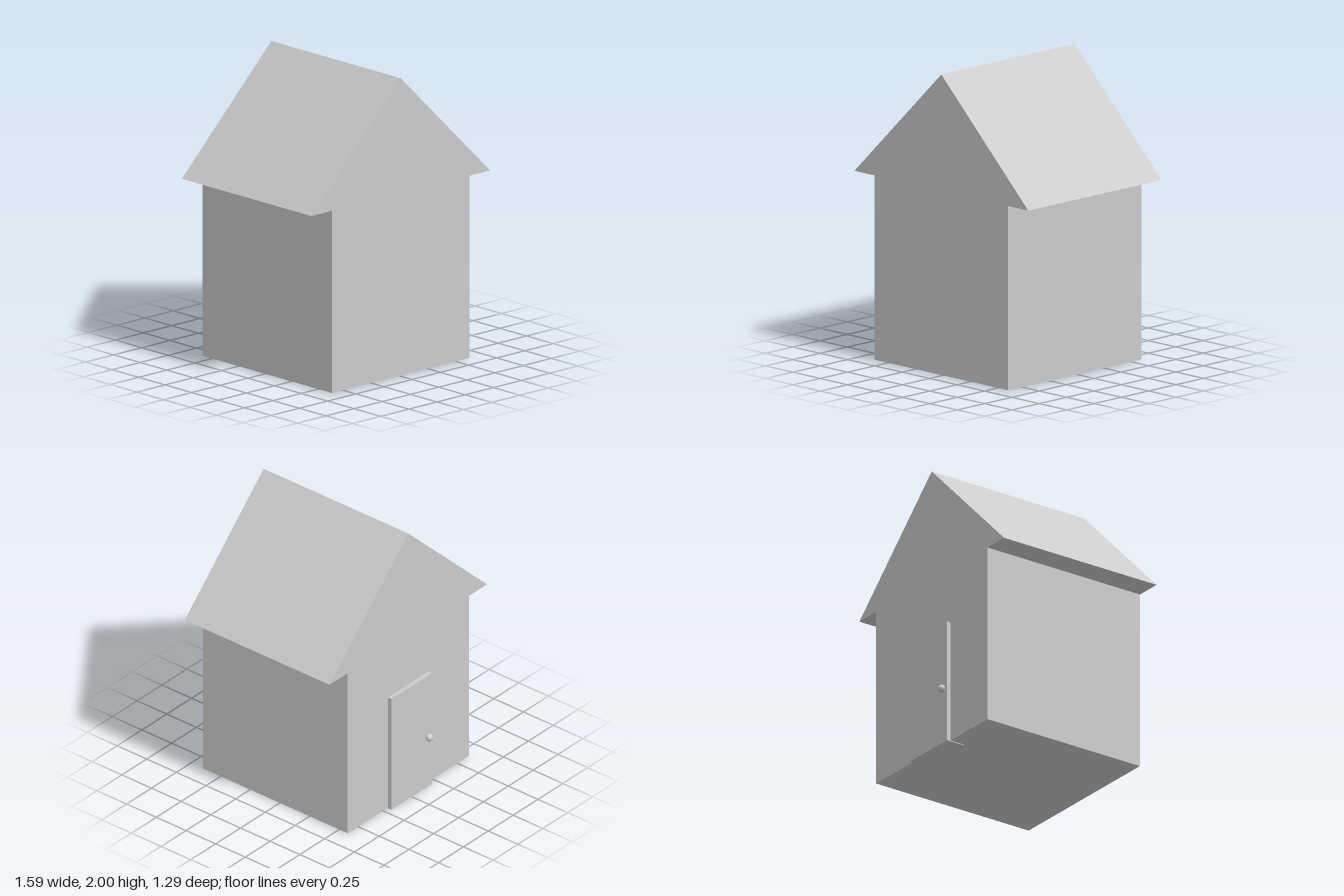
import * as THREE from 'three';

export function createModel() {
  const house = new THREE.Group();
  house.name = 'house';
  const material = new THREE.MeshStandardMaterial({ color: 0xcccccc });
  const add = (name, geometry, x, y, z) => {
    const mesh = new THREE.Mesh(geometry, material);
    mesh.name = name;
    mesh.position.set(x, y, z);
    house.add(mesh);
  };

  const back = -0.577, front = 0.643;
  const depth = front - back, middle = (front + back) / 2;
  const base = 0.005, eaves = 1.228, ridge = 2;

  // Square walls
  add('walls', new THREE.BoxGeometry(1.22, eaves - base, depth), 0, (eaves + base) / 2, middle);

  // Solid gable roof, flush with the front and back walls, overhanging the sides
  const gable = new THREE.Shape([
    new THREE.Vector2(-0.793, 0),
    new THREE.Vector2(0.793, 0),
    new THREE.Vector2(0, ridge - eaves),
  ]);
  add('roof', new THREE.ExtrudeGeometry(gable, { depth, bevelEnabled: false }), 0, eaves, back);

  // Door slab set into the back wall, with a round knob
  add('door', new THREE.BoxGeometry(0.41, 0.847, 0.135), 0, 0.4235, -0.5375);
  add('doorKnob', new THREE.SphereGeometry(0.025, 32, 16), -0.162, 0.38, -0.618);

  return house;
}
